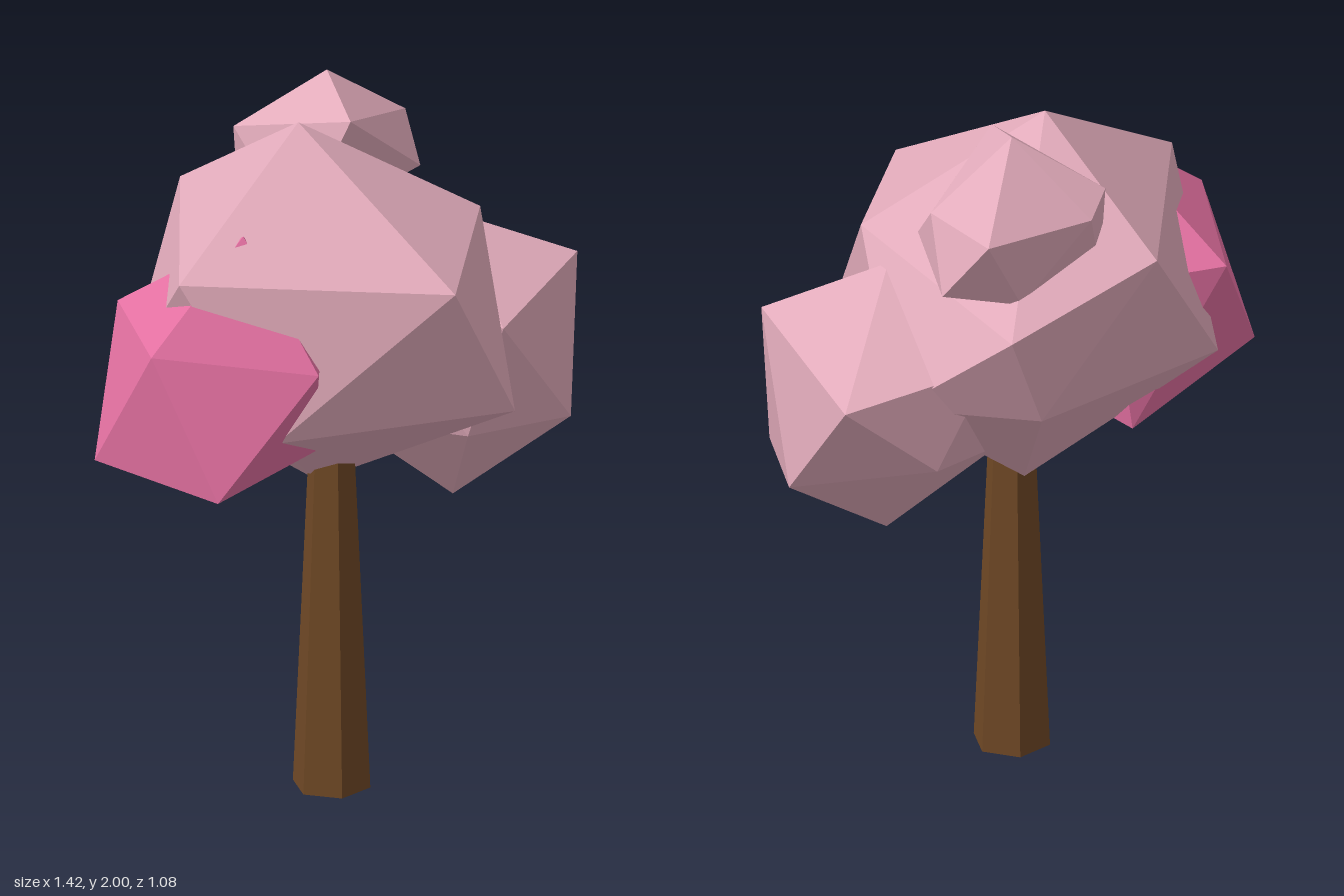
import * as THREE from 'three';

const flat = (name, color) => {
  const m = new THREE.MeshStandardMaterial({ color, flatShading: true });
  m.name = name;
  return m;
};

// Irregular 20-sided clump: a top point, a ring of 5, a staggered ring of 5, a bottom point.
// Rings run counter-clockwise seen from above; lower[i] sits between upper[i] and upper[i + 1].
function clump(name, material, top, upper, lower, bottom) {
  const pos = [];
  for (let i = 0; i < 5; i++) {
    const j = (i + 1) % 5;
    pos.push(...top, ...upper[i], ...upper[j]);
    pos.push(...upper[i], ...lower[i], ...upper[j]);
    pos.push(...lower[i], ...lower[j], ...upper[j]);
    pos.push(...bottom, ...lower[j], ...lower[i]);
  }
  const g = new THREE.BufferGeometry();
  g.setAttribute('position', new THREE.Float32BufferAttribute(pos, 3));
  g.computeVertexNormals();
  const mesh = new THREE.Mesh(g, material);
  mesh.name = name;
  return mesh;
}

export function createModel() {
  const tree = new THREE.Group();
  tree.name = 'blossomTree';
  const bark = flat('bark brown', 0x6f4825);
  const pale = flat('pale blossom', 0xe2abbb);
  const bright = flat('bright blossom', 0xe571a2);

  // Tapered six-sided trunk
  const trunk = new THREE.Mesh(new THREE.CylinderGeometry(0.064, 0.109, 1.0, 6), bark);
  trunk.position.set(-0.005, 0.5, 0.043);
  trunk.name = 'trunk';
  tree.add(trunk);

  // Large central clump
  tree.add(clump('mainFoliage', pale,
    [-0.09, 1.95, 0.01],
    [[-0.51, 1.64, 0.32], [0.22, 1.605, 0.5], [0.42, 1.65, 0.02], [0.12, 1.54, -0.54], [-0.32, 1.66, -0.37]],
    [[-0.27, 1.2, 0.45], [0.415, 1.2, 0.4], [0.41, 1.29, -0.38], [0.02, 1.25, -0.46], [-0.55, 1.21, -0.09]],
    [-0.02, 0.86, -0.05]));

  // Low clump on the +x side
  tree.add(clump('sideFoliage', pale,
    [0.37, 1.59, -0.1],
    [[0.43, 1.37, 0.225], [0.71, 1.46, -0.04], [0.57, 1.34, -0.475], [0.15, 1.4, -0.4], [0.1, 1.42, 0.05]],
    [[0.67, 1.01, 0.04], [0.68, 1.015, -0.26], [0.3, 1.1, -0.41], [0.07, 1.0, -0.12], [0.35, 1.03, 0.15]],
    [0.37, 0.765, -0.08]));

  // Small clump at the top
  tree.add(clump('topFoliage', pale,
    [0.05, 2.0, -0.21],
    [[0.06, 1.93, 0.0], [0.29, 1.83, -0.28], [0.18, 1.83, -0.515], [-0.14, 1.8, -0.36], [-0.2, 1.84, -0.26]],
    [[0.3, 1.71, -0.16], [0.29, 1.65, -0.43], [0.07, 1.6, -0.43], [-0.18, 1.6, -0.28], [-0.08, 1.6, -0.04]],
    [0.08, 1.54, -0.3]));

  // Bright clump at the front on the -x side
  tree.add(clump('brightFoliage', bright,
    [-0.31, 1.735, 0.25],
    [[-0.16, 1.4, 0.48], [-0.05, 1.4, 0.15], [-0.25, 1.45, -0.1], [-0.58, 1.45, -0.06], [-0.61, 1.47, 0.4]],
    [[-0.12, 1.1, 0.3], [-0.12, 1.08, 0.05], [-0.31, 1.0, -0.1], [-0.71, 1.09, 0.18], [-0.46, 1.08, 0.54]],
    [-0.34, 0.93, 0.16]));

  return tree;
}
